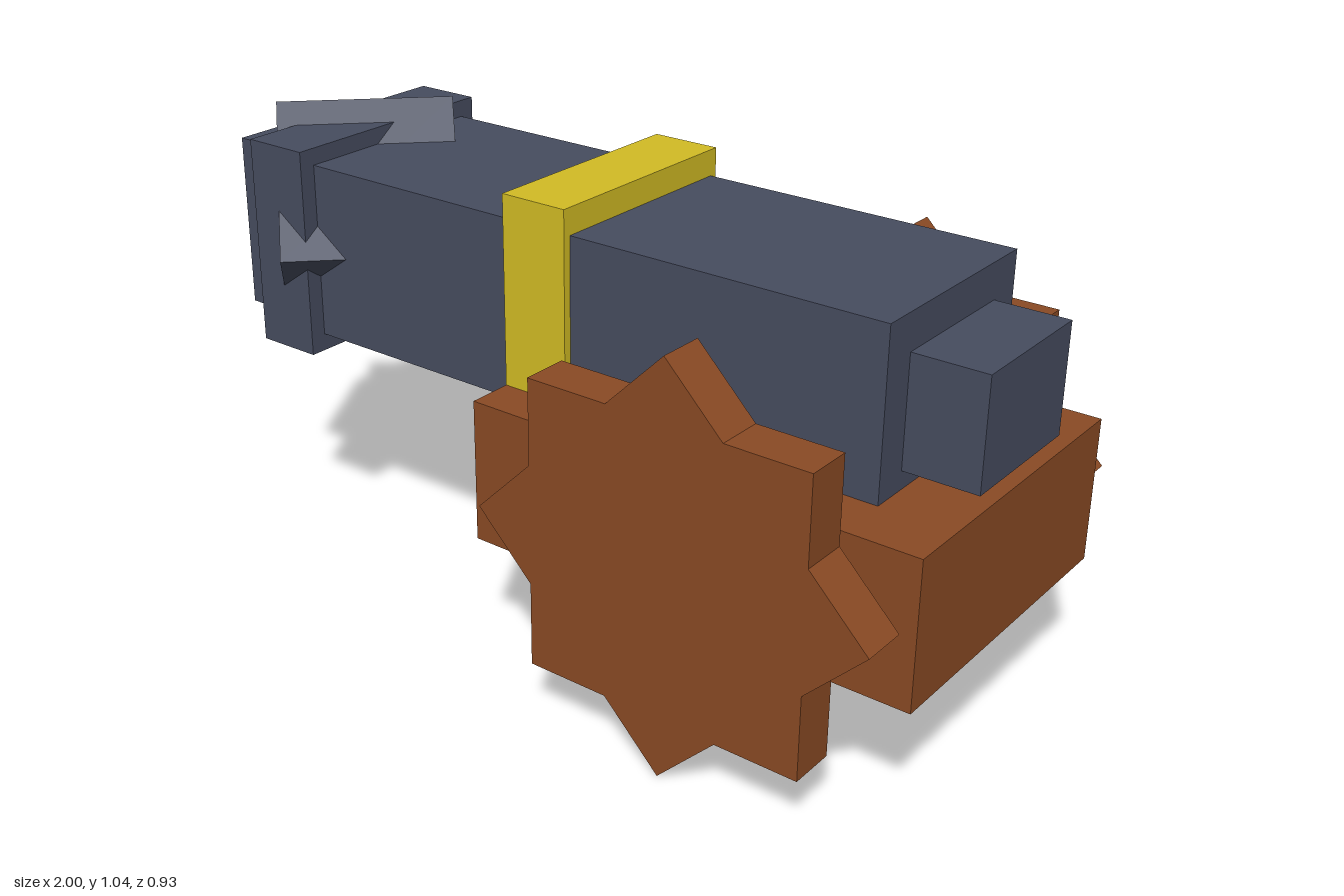
import * as THREE from 'three';

export function createModel() {
  const group = new THREE.Group();
  group.name = 'cannon';

  const material = (name, color) => {
    const m = new THREE.MeshStandardMaterial({ color });
    m.name = name;
    return m;
  };
  const iron = material('slate iron', 0x464c5f);
  const wood = material('brown wood', 0x8a4a24);
  const brass = material('yellow brass', 0xd2bc24);

  const add = (name, geometry, mat, x, y, z) => {
    const mesh = new THREE.Mesh(geometry, mat);
    mesh.name = name;
    mesh.position.set(x, y, z);
    group.add(mesh);
    return mesh;
  };
  // Box given by its x range, y range and half depth
  const box = (name, mat, x0, x1, y0, y1, halfZ) =>
    add(name, new THREE.BoxGeometry(x1 - x0, y1 - y0, halfZ * 2), mat, (x0 + x1) / 2, (y0 + y1) / 2, 0);

  // Barrel along x, muzzle towards -x
  box('barrel', iron, -0.64, 0.84, 0.57, 0.965, 0.237);
  box('breechKnob', iron, 0.8, 1, 0.648, 0.885, 0.158);
  box('muzzleRing', iron, -0.743, -0.588, 0.531, 1.003, 0.275);
  box('barrelBand', brass, -0.032, 0.125, 0.512, 1.023, 0.255);

  // Muzzle: a straight cube crossed by a cube tipped onto its edge
  const side = 0.395;
  box('muzzleBlock', iron, -0.861, -0.466, 0.57, 0.965, side / 2);
  const tipped = new THREE.BoxGeometry(side, side, side);
  tipped.rotateZ(Math.PI / 4);
  tipped.rotateY(-Math.PI / 4);
  add('muzzleSpikes', tipped, iron, -0.663, 0.767, 0);

  // Carriage
  box('carriage', wood, -0.032, 1, 0.291, 0.608, 0.356);

  // Eight-pointed wheels: the outline of two crossed squares
  const outer = 0.447;
  const inner = outer / Math.SQRT2 / Math.cos(Math.PI / 8);
  const star = new THREE.Shape();
  for (let i = 0; i < 16; i++) {
    const r = i % 2 ? inner : outer;
    const a = (i * Math.PI) / 8;
    if (i === 0) star.moveTo(r, 0);
    else star.lineTo(r * Math.cos(a), r * Math.sin(a));
  }
  const depth = 0.102;
  const wheel = new THREE.ExtrudeGeometry(star, { depth, bevelEnabled: false });
  wheel.translate(0, 0, -depth / 2);
  for (const s of [1, -1]) add(s > 0 ? 'frontWheel' : 'backWheel', wheel, wood, 0.523, 0.45, s * 0.415);

  return group;
}
